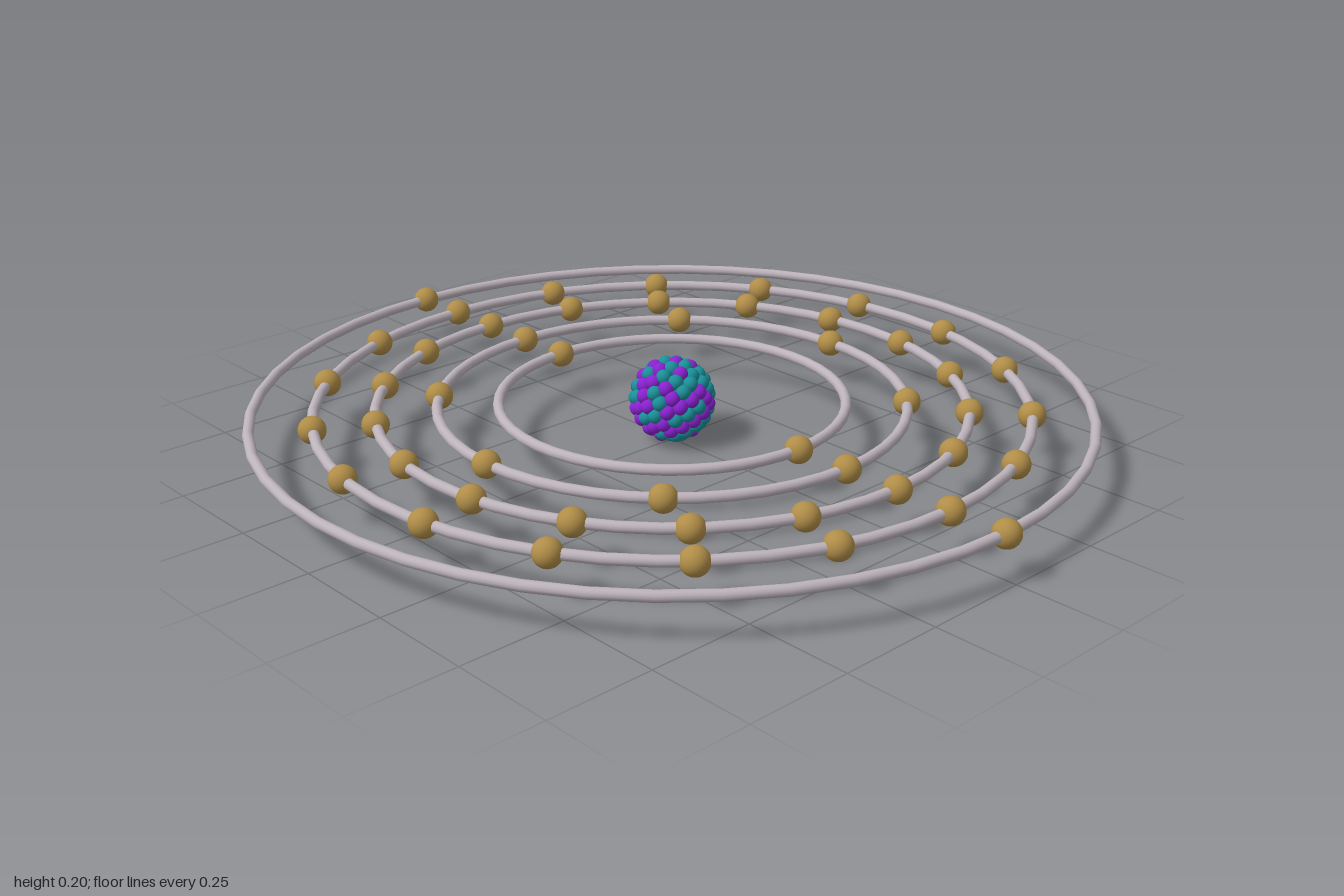
import * as THREE from 'three';

const CENTRE_Y = 0.102;
const ELECTRON_R = 0.032;

const paint = (color) => new THREE.MeshStandardMaterial({ color });

// Seeded generator for mixing the two kinds of nucleon
function seeded(seed) {
  return () => {
    seed = (seed * 1664525 + 1013904223) % 4294967296;
    return seed / 4294967296;
  };
}

// Ball cluster: two colours of small spheres spread evenly over a shell
function makeNucleus() {
  const nucleus = new THREE.Group();
  nucleus.name = 'nucleus';
  const count = 112, shell = 0.084, ballR = 0.0185;
  const ball = new THREE.SphereGeometry(ballR, 16, 12);
  const proton = paint(0x8a22d0), neutron = paint(0x1a9099);
  const random = seeded(7);
  for (let i = 0; i < count; i++) {
    const y = 1 - (2 * i + 1) / count;
    const r = Math.sqrt(1 - y * y);
    const a = i * Math.PI * (3 - Math.sqrt(5));
    const isProton = random() < 0.43;
    const mesh = new THREE.Mesh(ball, isProton ? proton : neutron);
    mesh.name = isProton ? 'proton' : 'neutron';
    mesh.position.set(r * Math.cos(a), y, r * Math.sin(a)).multiplyScalar(shell);
    nucleus.add(mesh);
  }
  return nucleus;
}

// One flat orbit ring with evenly spaced electrons, the first at the back
function makeShell(radius, electrons, ringMat, electronGeo, electronMat) {
  const shell = new THREE.Group();
  shell.name = 'electronShell';
  const ring = new THREE.Mesh(new THREE.TorusGeometry(radius, 0.0125, 12, 48), ringMat);
  ring.name = 'orbitRing';
  ring.rotation.x = Math.PI / 2;
  shell.add(ring);
  for (let i = 0; i < electrons; i++) {
    const a = (i / electrons) * Math.PI * 2;
    const electron = new THREE.Mesh(electronGeo, electronMat);
    electron.name = 'electron';
    electron.position.set(radius * Math.sin(a), 0, -radius * Math.cos(a));
    shell.add(electron);
  }
  return shell;
}

export function createModel() {
  const model = new THREE.Group();
  model.name = 'atomModel';
  model.add(makeNucleus());

  const ringMat = paint(0xbdb3bb);
  const electronMat = paint(0xb08d48);
  const electronGeo = new THREE.SphereGeometry(ELECTRON_R, 24, 16);
  [2, 8, 18, 18, 2].forEach((electrons, i) => {
    model.add(makeShell(0.404 + 0.141 * i, electrons, ringMat, electronGeo, electronMat));
  });

  // Lift everything so the nucleus rests on the ground
  model.children.forEach((part) => { part.position.y = CENTRE_Y; });
  return model;
}
